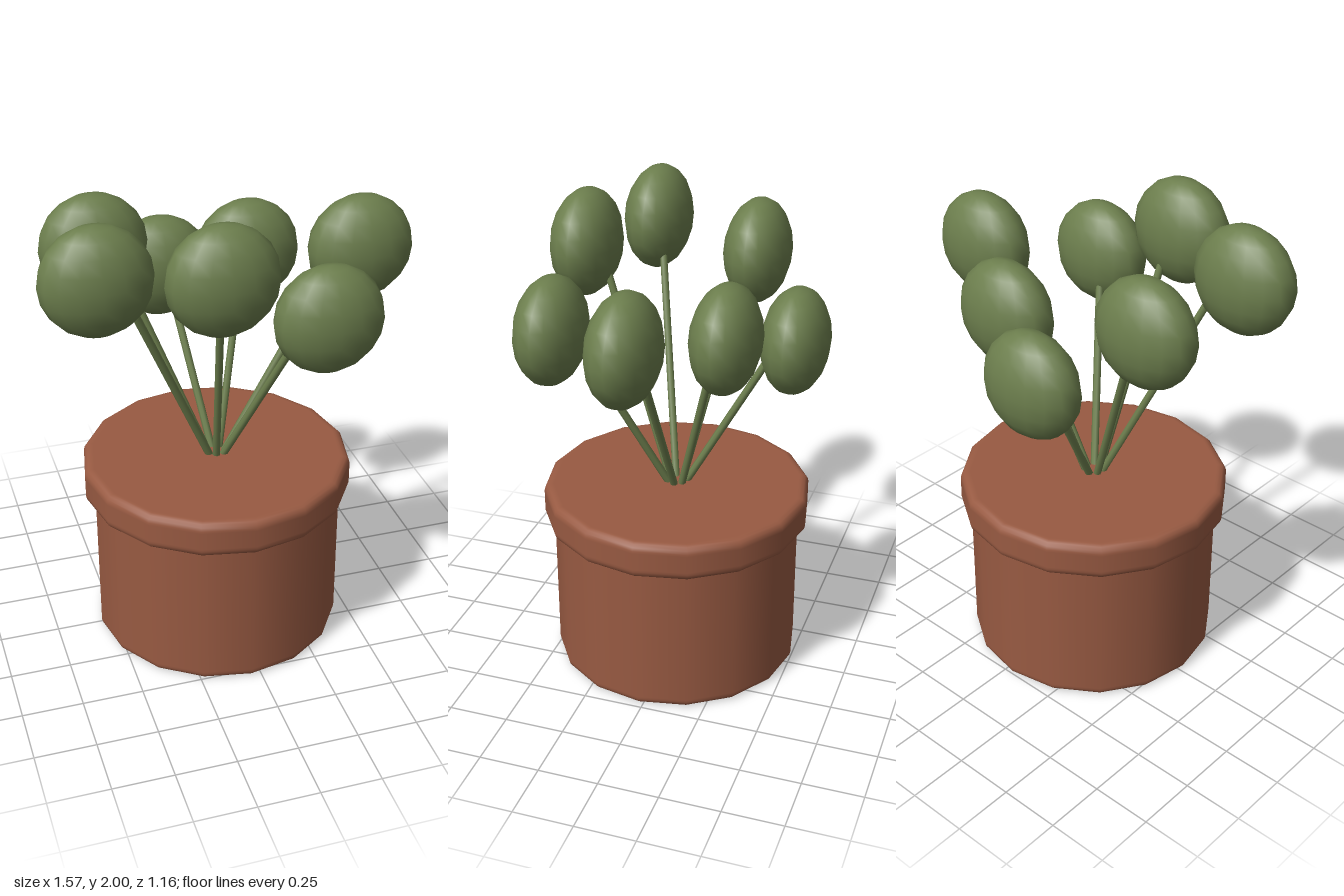
import * as THREE from 'three';

const CX = -0.04, CZ = 0.02; // pot axis

export function createModel() {
  const model = new THREE.Group();
  const clay = new THREE.MeshStandardMaterial({ color: 0x985a42 });
  clay.name = 'terracotta';
  const green = new THREE.MeshStandardMaterial({ color: 0x6c7e4d });
  green.name = 'leaf green';

  const add = (name, geometry, material, parent = model) => {
    const mesh = new THREE.Mesh(geometry, material);
    mesh.name = name;
    parent.add(mesh);
    return mesh;
  };

  // Sixteen-sided drum with softly rounded edges; extra rings keep the caps flat
  const drum = (r, y0, y1, b) => {
    const pts = [[0, y0], [r - b - 0.01, y0], [r - b, y0]];
    for (const a of [30, 60, 90]) {
      const t = THREE.MathUtils.degToRad(a);
      pts.push([r - b + b * Math.sin(t), y0 + b - b * Math.cos(t)]);
    }
    pts.push([r, y0 + b + 0.01], [r, y1 - b - 0.01]);
    for (const a of [0, 30, 60, 90]) {
      const t = THREE.MathUtils.degToRad(a);
      pts.push([r - b + b * Math.cos(t), y1 - b + b * Math.sin(t)]);
    }
    pts.push([r - b - 0.01, y1], [0, y1]);
    return new THREE.LatheGeometry(pts.map(([x, y]) => new THREE.Vector2(x, y)), 16);
  };

  // Pot
  const pot = new THREE.Group();
  pot.name = 'pot';
  pot.position.set(CX, 0, CZ);
  model.add(pot);
  add('potBody', drum(0.52, 0, 0.7, 0.025), clay, pot);
  add('potRim', drum(0.56, 0.645, 0.8, 0.03), clay, pot);

  // Leaf pads: centre x, y, z
  const heads = [
    [0.565, 1.65, 0.02],
    [0.285, 1.56, 0.425],
    [-0.135, 1.78, 0.435],
    [-0.568, 1.765, 0.275],
    [-0.477, 1.695, -0.19],
    [-0.145, 1.458, -0.445],
    [0.177, 1.57, -0.25],
  ];
  const padGeometry = new THREE.SphereGeometry(1, 16, 10);
  const up = new THREE.Vector3(0, 1, 0);

  for (const [x, y, z] of heads) {
    const sprig = new THREE.Group();
    sprig.name = 'sprig';
    model.add(sprig);

    const pad = add('leafPad', padGeometry, green, sprig);
    pad.position.set(x, y, z);
    pad.scale.set(0.22, 0.22, 0.138);

    // Stem leans out from the pot centre and ends inside the pad
    const dx = x - CX, dz = z - CZ, r = Math.hypot(dx, dz);
    const base = new THREE.Vector3(CX + dx / r * 0.03, 0.78, CZ + dz / r * 0.03);
    const tip = new THREE.Vector3(CX + dx * 0.82, y - 0.05, CZ + dz * 0.82);
    const dir = tip.clone().sub(base);
    const stem = add('stem', new THREE.CylinderGeometry(0.016, 0.016, dir.length(), 8), green, sprig);
    stem.position.copy(base).addScaledVector(dir, 0.5);
    stem.quaternion.setFromUnitVectors(up, dir.normalize());
  }
  return model;
}
